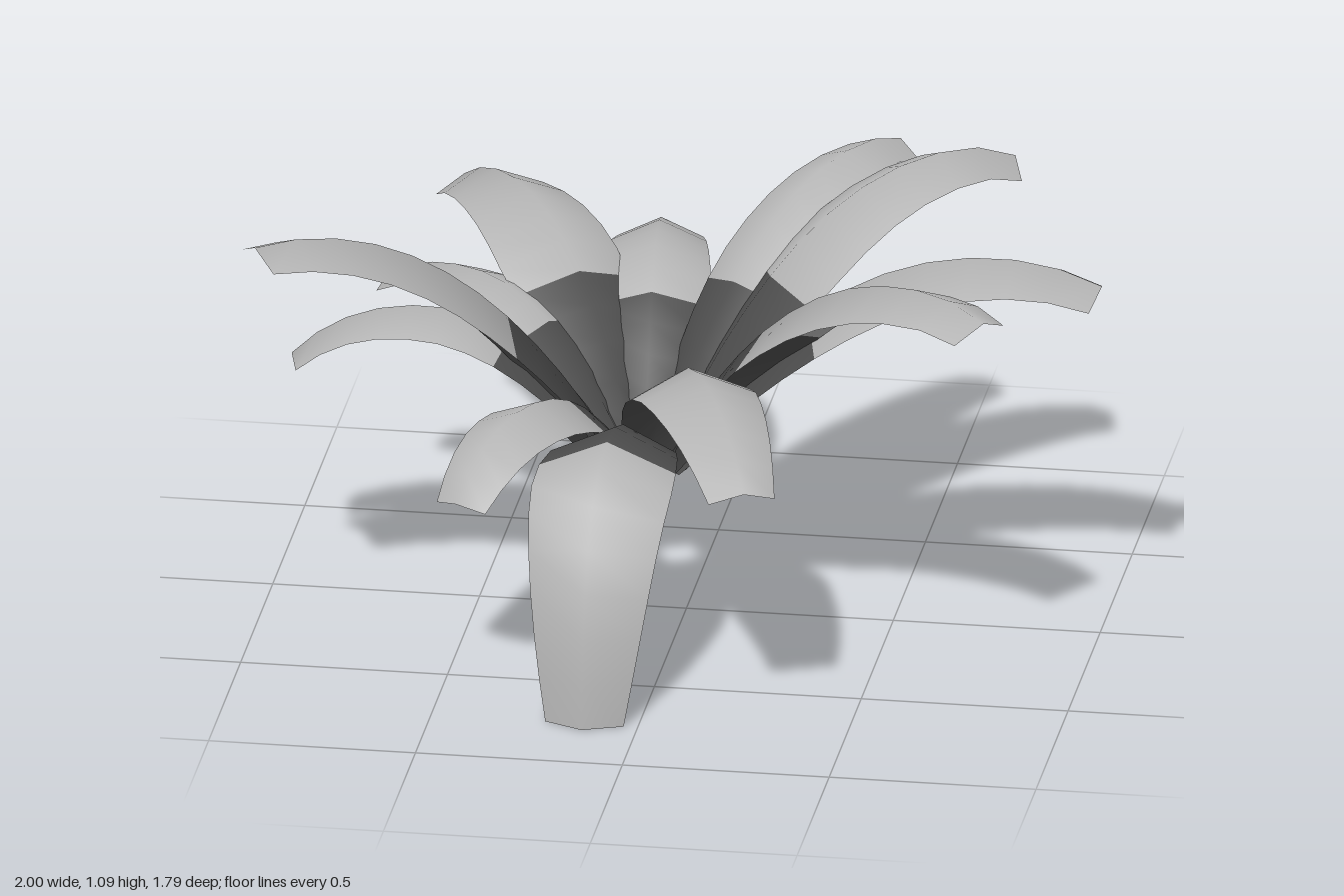
import * as THREE from 'three';

const lightLeaf = new THREE.MeshStandardMaterial({ name: 'lightLeaf', color: 0xb4b4b4, side: THREE.DoubleSide });
const darkLeaf = new THREE.MeshStandardMaterial({ name: 'darkLeaf', color: 0x4c4c4c, side: THREE.DoubleSide });

const CENTER = new THREE.Vector3(-0.11, 0, -0.05);
const FOOT = new THREE.Vector2(0.045, 0.35);
const HEART = 0.42; // share of the blade that is dark

// Each leaf: tip position, highest point of the midrib (radius, height), widest width
const LEAVES = [
  { name: 'backRightLeaf', tip: [-0.67, 0.74, -0.865], peak: [0.68, 0.83], width: 0.31 },
  { name: 'backLeaf', tip: [-0.19, 0.61, -0.885], peak: [0.52, 0.74], width: 0.27 },
  { name: 'backLeftLeaf', tip: [0.4, 0.94, -0.76], peak: [0.76, 0.965], width: 0.25 },
  { name: 'leftBackLeaf', tip: [0.71, 1.0, -0.55], peak: [0.81, 1.04], width: 0.3 },
  { name: 'leftLeaf', tip: [1.0, 0.89, -0.03], peak: [0.86, 0.945], width: 0.32 },
  { name: 'leftFrontLeaf', tip: [0.805, 1.02, 0.56], peak: [0.95, 1.05], width: 0.31 },
  { name: 'frontLeftLeaf', tip: [0.275, 0.675, 0.88], peak: [0.6, 0.81], width: 0.29 },
  { name: 'droopingFrontLeaf', tip: [-0.13, 0.01, 0.8], peak: [0.47, 0.615], width: 0.34 },
  { name: 'frontRightLeaf', tip: [-0.455, 0.52, 0.67], peak: [0.5, 0.67], width: 0.25 },
  { name: 'rightFrontLeaf', tip: [-0.96, 1.095, 0.535], peak: [0.98, 1.1], width: 0.31 },
  { name: 'rightLeaf', tip: [-0.965, 0.58, -0.07], peak: [0.52, 0.725], width: 0.23 },
  { name: 'rightBackLeaf', tip: [-0.795, 0.63, -0.48], peak: [0.53, 0.715], width: 0.22 },
];

// Midrib: rises steeply from the foot, levels at the peak, then droops to the tip
function makeRib(peak, tip) {
  const riseControl = new THREE.Vector2(THREE.MathUtils.lerp(FOOT.x, peak.x, 0.44), peak.y);
  const droop = 0.5 + 0.75 * (peak.y - tip.y);
  const fallControl = new THREE.Vector2(THREE.MathUtils.lerp(peak.x, tip.x, droop), peak.y);
  const rib = new THREE.CurvePath();
  rib.add(new THREE.QuadraticBezierCurve(FOOT, riseControl, peak));
  rib.add(new THREE.QuadraticBezierCurve(peak, fallControl, tip));
  return rib;
}

// Blade width: narrow foot, widest near the middle, cut-off tip
function bladeWidth(u, widest) {
  if (u < 0.5) return THREE.MathUtils.lerp(0.09, widest, Math.sin(u * Math.PI));
  return widest * (1 - 0.44 * Math.pow(2 * u - 1, 1.5));
}

function makeLeaf({ name, tip, peak, width }) {
  const [dx, dz] = [tip[0] - CENTER.x, tip[2] - CENTER.z];
  const rib = makeRib(new THREE.Vector2(...peak), new THREE.Vector2(Math.hypot(dx, dz), tip[1]));

  // Rows of three points: edge, raised midrib, edge; the foot is folded deeper
  const darkRows = 5, lightRows = 7, rows = darkRows + lightRows;
  const positions = [], indices = [];
  for (let i = 0; i <= rows; i++) {
    const u = i <= darkRows ? HEART * i / darkRows : HEART + (1 - HEART) * (i - darkRows) / lightRows;
    const p = rib.getPointAt(u), t = rib.getTangentAt(u);
    const w = bladeWidth(u, width);
    const fold = 0.22 * w + 0.035 * Math.max(0, 1 - 4 * u);
    for (const side of [-1, 0, 1]) {
      const drop = Math.abs(side) * fold;
      // The foot is cut level
      const y = i === 0 ? p.y : p.y - t.x * drop;
      positions.push(p.x + t.y * drop, y, side * w / 2);
    }
    if (i === rows) break;
    for (let j = 0; j < 2; j++) {
      const a = i * 3 + j, b = a + 3;
      indices.push(a, a + 1, b, a + 1, b + 1, b);
    }
  }
  const geometry = new THREE.BufferGeometry();
  geometry.setAttribute('position', new THREE.Float32BufferAttribute(positions, 3));
  geometry.setIndex(indices);
  geometry.computeVertexNormals();
  geometry.addGroup(0, darkRows * 12, 0);
  geometry.addGroup(darkRows * 12, lightRows * 12, 1);

  const leaf = new THREE.Mesh(geometry, [darkLeaf, lightLeaf]);
  leaf.name = name;
  leaf.position.copy(CENTER);
  leaf.rotation.y = -Math.atan2(dz, dx);
  return leaf;
}

export function createModel() {
  const plant = new THREE.Group();
  plant.name = 'leafRosette';
  for (const leaf of LEAVES) plant.add(makeLeaf(leaf));
  return plant;
}
